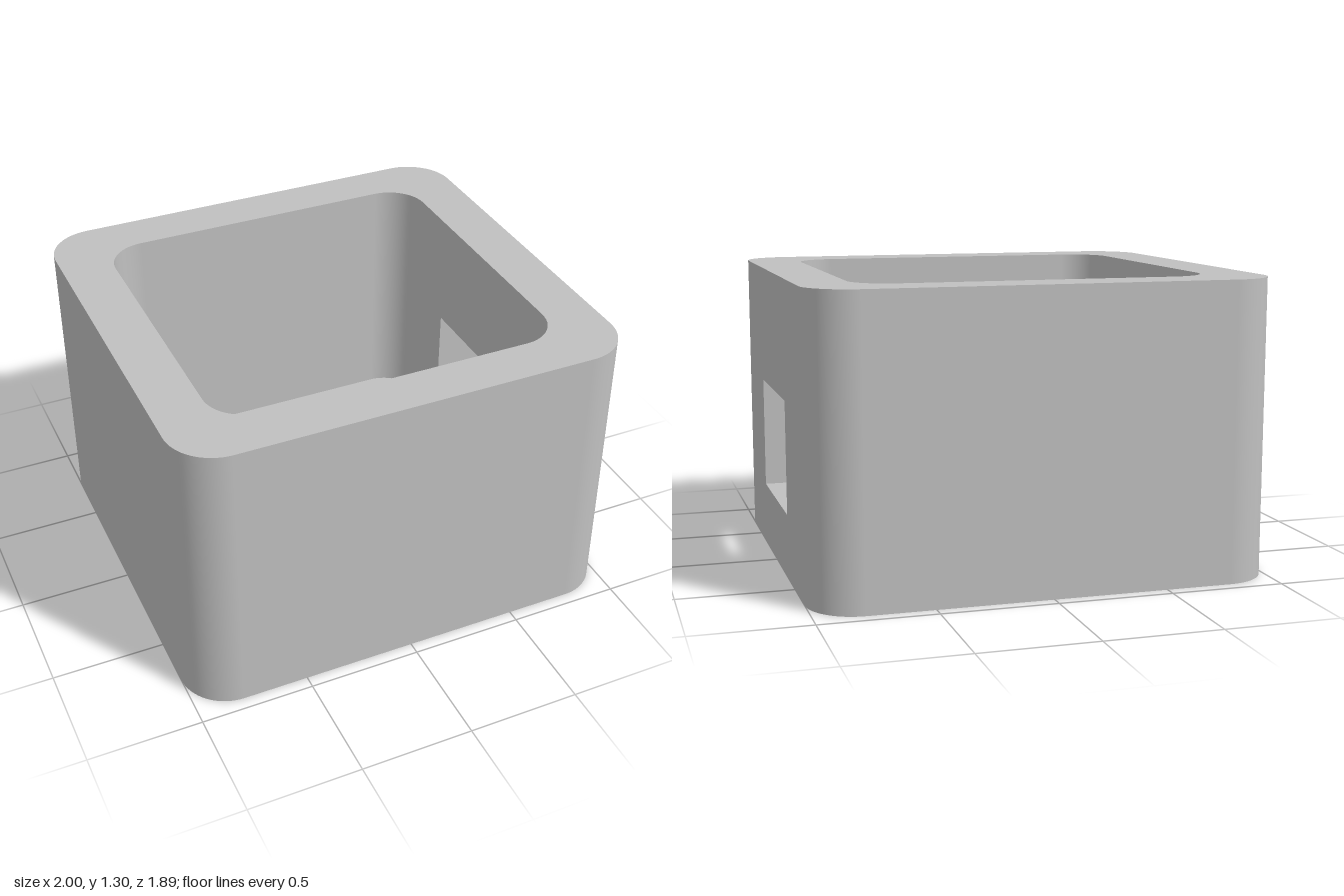
import * as THREE from 'three';

const HEIGHT = 1.296, FLOOR = 0.2;
const OUTER = { x: 1, z: 0.945, r: 0.21 };
const INNER = { x: 0.773, z: 0.73, r: 0.175 };
const WINDOW = { z: 0.32, bottom: 0.28, top: 0.775 };

// Rounded rectangle as points with normals, open along its +x side
function outline({ x, z, r }, steps = 16) {
  const points = [];
  const corners = [[1, 1], [-1, 1], [-1, -1], [1, -1]];
  corners.forEach(([sx, sz], k) => {
    for (let i = 0; i <= steps; i++) {
      const a = (k + i / steps) * Math.PI / 2;
      const nx = Math.cos(a), nz = Math.sin(a);
      points.push({ x: sx * (x - r) + r * nx, z: sz * (z - r) + r * nz, nx, nz });
    }
  });
  return points;
}

// Upright wall following the outline; side is 1 facing out, -1 facing in
function wallGeometry(size, y0, y1, side) {
  const points = outline(size), position = [], normal = [], index = [];
  points.forEach((p, i) => {
    position.push(p.x, y0, p.z, p.x, y1, p.z);
    for (let k = 0; k < 2; k++) normal.push(side * p.nx, 0, side * p.nz);
    if (i === points.length - 1) return;
    const a = 2 * i, b = a + 1, c = a + 2, d = a + 3;
    if (side > 0) index.push(a, b, c, b, d, c);
    else index.push(a, c, b, b, c, d);
  });
  const geometry = new THREE.BufferGeometry();
  geometry.setAttribute('position', new THREE.Float32BufferAttribute(position, 3));
  geometry.setAttribute('normal', new THREE.Float32BufferAttribute(normal, 3));
  geometry.setIndex(index);
  return geometry;
}

// Horizontal slab face, optionally with a hole
function flatGeometry(size, y, up, hole) {
  const toPoints = s => outline(s).map(p => new THREE.Vector2(p.x, p.z));
  const shape = new THREE.Shape(toPoints(size));
  if (hole) shape.holes.push(new THREE.Path(toPoints(hole)));
  return new THREE.ShapeGeometry(shape).rotateX(up ? -Math.PI / 2 : Math.PI / 2).translate(0, y, 0);
}

function rectangle(path, halfWidth, y0, y1) {
  path.moveTo(-halfWidth, y0).lineTo(halfWidth, y0).lineTo(halfWidth, y1).lineTo(-halfWidth, y1);
  path.closePath();
  return path;
}

// Flat +x side with the window cut out
function windowSideGeometry({ x, z, r }, y0, y1, side) {
  const shape = rectangle(new THREE.Shape(), z - r, y0, y1);
  shape.holes.push(rectangle(new THREE.Path(), WINDOW.z, WINDOW.bottom, WINDOW.top));
  return new THREE.ShapeGeometry(shape).rotateY(side * Math.PI / 2).translate(x, 0, 0);
}

export function createModel() {
  const model = new THREE.Group();
  model.name = 'openBox';
  const grey = new THREE.MeshStandardMaterial({ color: 0xc0c0c0 });
  grey.name = 'grey';

  const add = (name, geometry) => {
    const mesh = new THREE.Mesh(geometry, grey);
    mesh.name = name;
    model.add(mesh);
  };

  // Outer shell
  add('outerWall', wallGeometry(OUTER, 0, HEIGHT, 1));
  add('outerWindowSide', windowSideGeometry(OUTER, 0, HEIGHT, 1));
  add('base', flatGeometry(OUTER, 0, false));
  add('rim', flatGeometry(OUTER, HEIGHT, true, INNER));

  // Cavity
  add('innerWall', wallGeometry(INNER, FLOOR, HEIGHT, -1));
  add('innerWindowSide', windowSideGeometry(INNER, FLOOR, HEIGHT, -1));
  add('floor', flatGeometry(INNER, FLOOR, true));

  // Lining of the window through the wall
  const depth = OUTER.x - INNER.x, midX = (OUTER.x + INNER.x) / 2;
  const midY = (WINDOW.bottom + WINDOW.top) / 2, tall = WINDOW.top - WINDOW.bottom;
  const quarter = Math.PI / 2;
  add('windowSill', new THREE.PlaneGeometry(depth, 2 * WINDOW.z).rotateX(-quarter).translate(midX, WINDOW.bottom, 0));
  add('windowLintel', new THREE.PlaneGeometry(depth, 2 * WINDOW.z).rotateX(quarter).translate(midX, WINDOW.top, 0));
  add('windowBackJamb', new THREE.PlaneGeometry(depth, tall).translate(midX, midY, -WINDOW.z));
  add('windowFrontJamb', new THREE.PlaneGeometry(depth, tall).rotateY(Math.PI).translate(midX, midY, WINDOW.z));

  return model;
}
